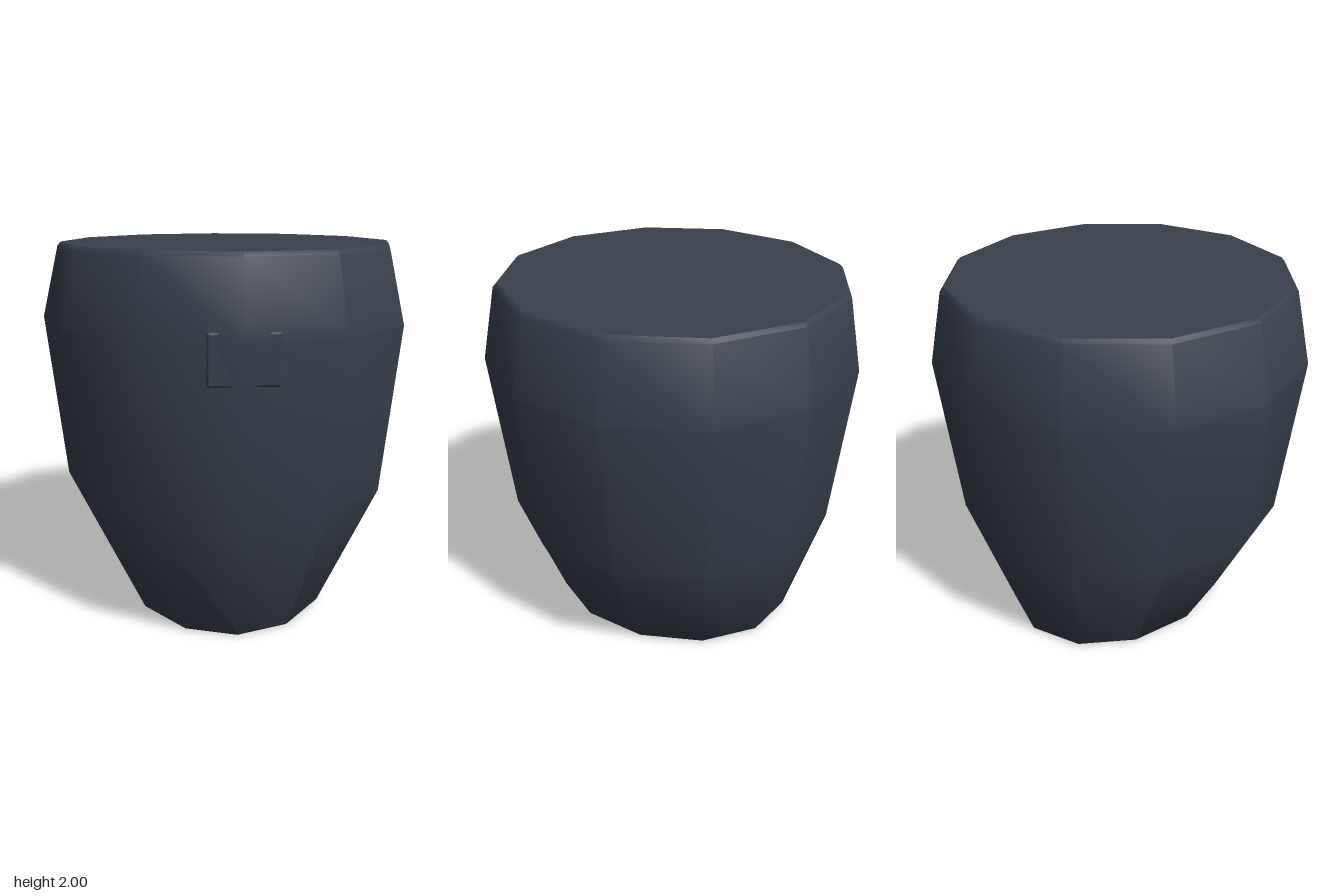
import * as THREE from 'three';
import { toCreasedNormals } from 'three/addons/utils/BufferGeometryUtils.js';
import { RoundedBoxGeometry } from 'three/addons/geometries/RoundedBoxGeometry.js';

// Profile from base to top: [radius in x, radius in z, height]
const PROFILE = [
  [0, 0, 0],
  [0.54, 0.69, 0],
  [0.56, 0.705, 0.015],
  [0.905, 0.91, 0.7],
  [1, 1, 1.6],
  [0.908, 0.925, 1.98],
  [0.89, 0.905, 2],
  [0, 0, 2],
];

// Twelve-sided body whose rings become oval towards the base
function bodyGeometry() {
  const points = PROFILE.map(([rx, , y]) => new THREE.Vector2(rx, y));
  const geometry = new THREE.LatheGeometry(points, 12);
  const position = geometry.attributes.position;
  for (let i = 0; i < position.count; i++) {
    const [rx, rz] = PROFILE[i % PROFILE.length];
    if (rx > 0) position.setZ(i, position.getZ(i) * rz / rx);
  }
  geometry.deleteAttribute('uv');
  geometry.deleteAttribute('normal');
  return toCreasedNormals(geometry, 0.6);
}

export function createModel() {
  const model = new THREE.Group();
  model.name = 'taperedBlock';
  const slate = new THREE.MeshStandardMaterial({ name: 'dark slate', color: 0x38404c });

  const body = new THREE.Mesh(bodyGeometry(), slate);
  body.name = 'body';

  // Rounded plate sunk into the front ridge, leaving its two sides showing
  const plate = new THREE.Mesh(new RoundedBoxGeometry(0.345, 0.255, 0.06, 2, 0.015), slate);
  plate.name = 'frontPlate';
  plate.position.set(0, 1.523, 0.935);
  plate.rotation.x = -0.03;

  model.add(body, plate);
  return model;
}
